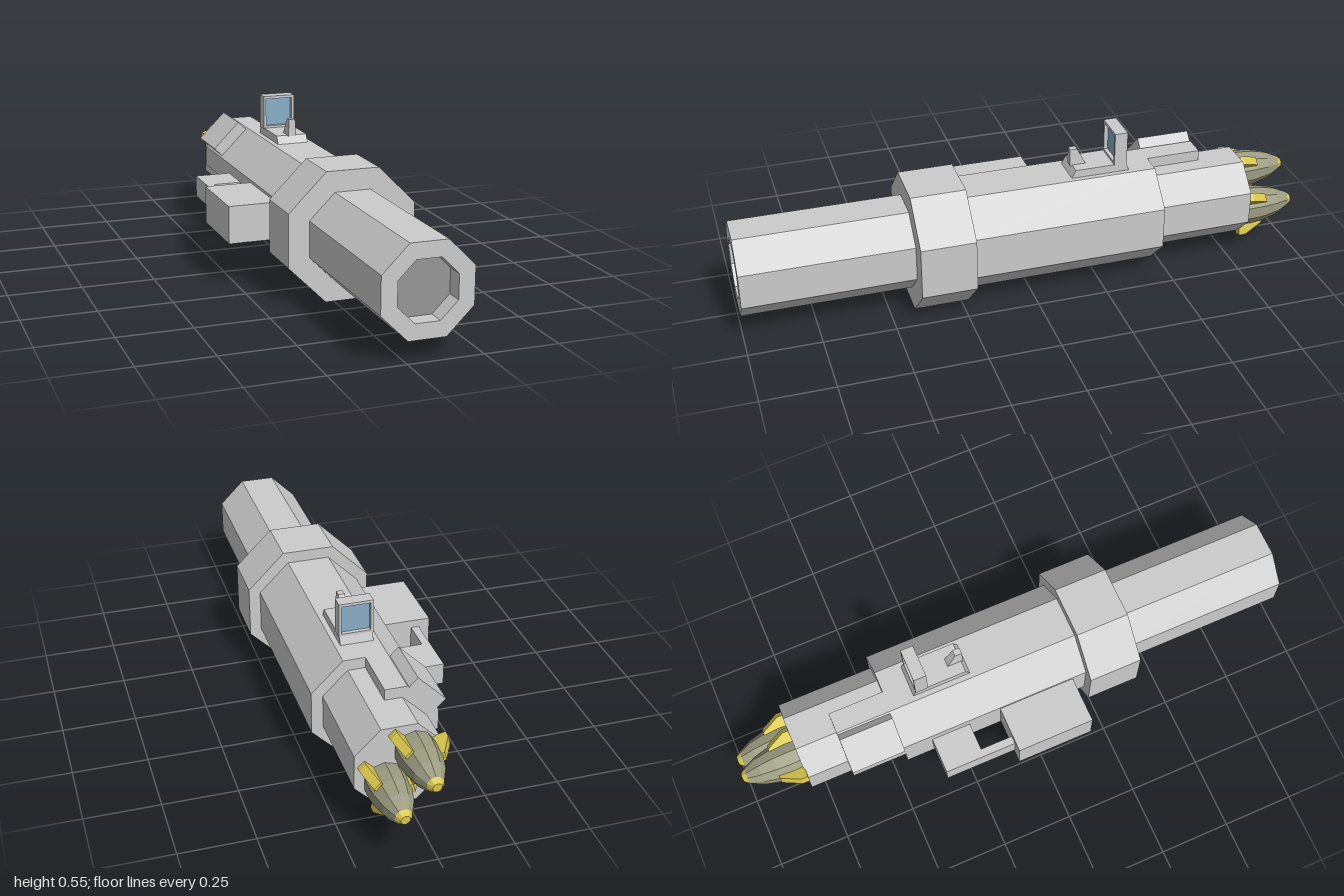
import * as THREE from 'three';

const CX = 0.062, CY = 0.22; // tube axis

const mat = (color) => new THREE.MeshStandardMaterial({ color, flatShading: true });

// Points of a flat-topped octagon with the given apothem, around the origin
function octagon(apothem) {
  const r = apothem / Math.cos(Math.PI / 8);
  return Array.from({ length: 8 }, (_, i) => {
    const a = Math.PI / 8 + i * Math.PI / 4;
    return new THREE.Vector2(r * Math.cos(a), r * Math.sin(a));
  });
}

// Extrude a shape along z from z0 to z1
function extrude(shape, z0, z1) {
  return new THREE.ExtrudeGeometry(shape, { depth: z1 - z0, bevelEnabled: false }).translate(0, 0, z0);
}

const toShape = (pts) => new THREE.Shape(pts.map((p) => new THREE.Vector2(p[0], p[1])));

// Extrude a (z, y) side profile across x, centred on x = 0
function sideProfile(pts, width) {
  const g = extrude(toShape(pts.map(([z, y]) => [-z, y])), -width / 2, width / 2);
  return g.rotateY(Math.PI / 2);
}

export function createModel() {
  const model = new THREE.Group();
  model.name = 'launcher';
  const grey = mat(0xcccccc), boreGrey = mat(0x969696);
  const olive = mat(0x9c9c82), yellow = mat(0xd8c64a), blue = mat(0x88aec8);

  function add(name, geometry, material = grey, parent = model) {
    const m = new THREE.Mesh(geometry, material);
    m.name = name;
    parent.add(m);
    return m;
  }
  function box(name, x0, x1, y0, y1, z0, z1, material = grey, parent = model) {
    const m = add(name, new THREE.BoxGeometry(x1 - x0, y1 - y0, z1 - z0), material, parent);
    m.position.set((x0 + x1) / 2, (y0 + y1) / 2, (z0 + z1) / 2);
    return m;
  }

  // Octagonal tube sections, built around the axis
  const tube = new THREE.Group();
  tube.name = 'tube';
  tube.position.set(CX, CY, 0);
  model.add(tube);

  const solid = (a) => new THREE.Shape(octagon(a));
  const muzzle = solid(0.149);
  muzzle.holes.push(new THREE.Path(octagon(0.097).reverse()));
  add('muzzle', extrude(muzzle, 0.94, 1), grey, tube);
  add('boreFloor', extrude(solid(0.1), 0.93, 0.941), boreGrey, tube);
  add('barrel', extrude(solid(0.149), 0.41, 0.94), grey, tube);
  add('collar', extrude(solid(0.22), 0.225, 0.415), grey, tube);
  add('body', extrude(solid(0.18), -0.455, 0.225), grey, tube);
  add('rearTube', extrude(solid(0.142), -0.797, -0.455), grey, tube);

  // Quarter of the body continued over the rear tube, with a raised hatch
  const quarter = toShape([[0, 0], [0, 0.18], [-0.0746, 0.18], [-0.18, 0.0746], [-0.18, 0]]);
  add('bodyExtension', extrude(quarter, -0.65, -0.455), grey, tube);
  const hatch = add('hatch', new THREE.BoxGeometry(0.134, 0.05, 0.19), grey, tube);
  hatch.rotation.z = Math.PI / 4;
  hatch.position.set(-0.196 * Math.SQRT1_2, 0.196 * Math.SQRT1_2, -0.555);

  // Side housing and its bracket
  box('sideHousing', -0.283, -0.11, 0.155, 0.285, -0.1, 0.175);
  box('bracketFoot', -0.245, -0.11, 0.182, 0.258, -0.355, -0.215);
  box('bracketArm', -0.245, -0.217, 0.182, 0.258, -0.215, -0.1);

  // Sight: wedge base, front post, framed glass
  const sight = new THREE.Group();
  sight.name = 'sight';
  sight.position.x = CX;
  model.add(sight);
  add('sightBase', sideProfile(
    [[-0.155, 0.395], [-0.172, 0.428], [-0.355, 0.428], [-0.366, 0.395]], 0.112), grey, sight);

  const post = sideProfile([[-0.165, 0.425], [-0.165, 0.486], [-0.19, 0.486], [-0.222, 0.425]], 0.03);
  const pp = post.attributes.position;
  for (let i = 0; i < pp.count; i++) if (pp.getY(i) > 0.45) pp.setX(i, pp.getX(i) * 0.75);
  post.computeVertexNormals();
  add('sightPost', post, grey, sight);

  const frame = toShape([[-0.058, 0.426], [0.058, 0.426], [0.058, 0.546], [-0.058, 0.546]]);
  frame.holes.push(new THREE.Path([[-0.049, 0.436], [-0.049, 0.536], [0.049, 0.536], [0.049, 0.436]]
    .map((p) => new THREE.Vector2(...p))));
  add('sightFrame', extrude(frame, -0.355, -0.31), grey, sight);
  box('sightGlass', -0.05, 0.05, 0.435, 0.537, -0.341, -0.324, blue, sight);

  // Two finned warheads, nose towards -z
  const nose = [[0, -0.79], [0.066, -0.79], [0.068, -0.83], [0.064, -0.88], [0.051, -0.935], [0.028, -0.983]];
  const tip = [[0.028, -0.983], [0.015, -1], [0, -1]];
  const lathe = (pts) => new THREE.LatheGeometry(
    pts.map(([r, z]) => new THREE.Vector2(r, -z)), 10).rotateX(-Math.PI / 2);
  const finShape = toShape([[0.04, 0.793], [0.106, 0.793], [0.106, 0.818], [0.07, 0.882], [0.04, 0.882]]);

  for (const [x, y] of [[0.012, 0.271], [0.108, 0.173]]) {
    const warhead = new THREE.Group();
    warhead.name = 'warhead';
    warhead.position.set(x, y, 0);
    model.add(warhead);
    add('warheadShell', lathe(nose), olive, warhead);
    add('warheadTip', lathe(tip), yellow, warhead);
    for (const deg of [45, 165, 285]) {
      const fin = extrude(finShape, -0.015, 0.015).rotateX(-Math.PI / 2);
      add('fin', fin, yellow, warhead).rotation.z = THREE.MathUtils.degToRad(deg);
    }
  }
  return model;
}
